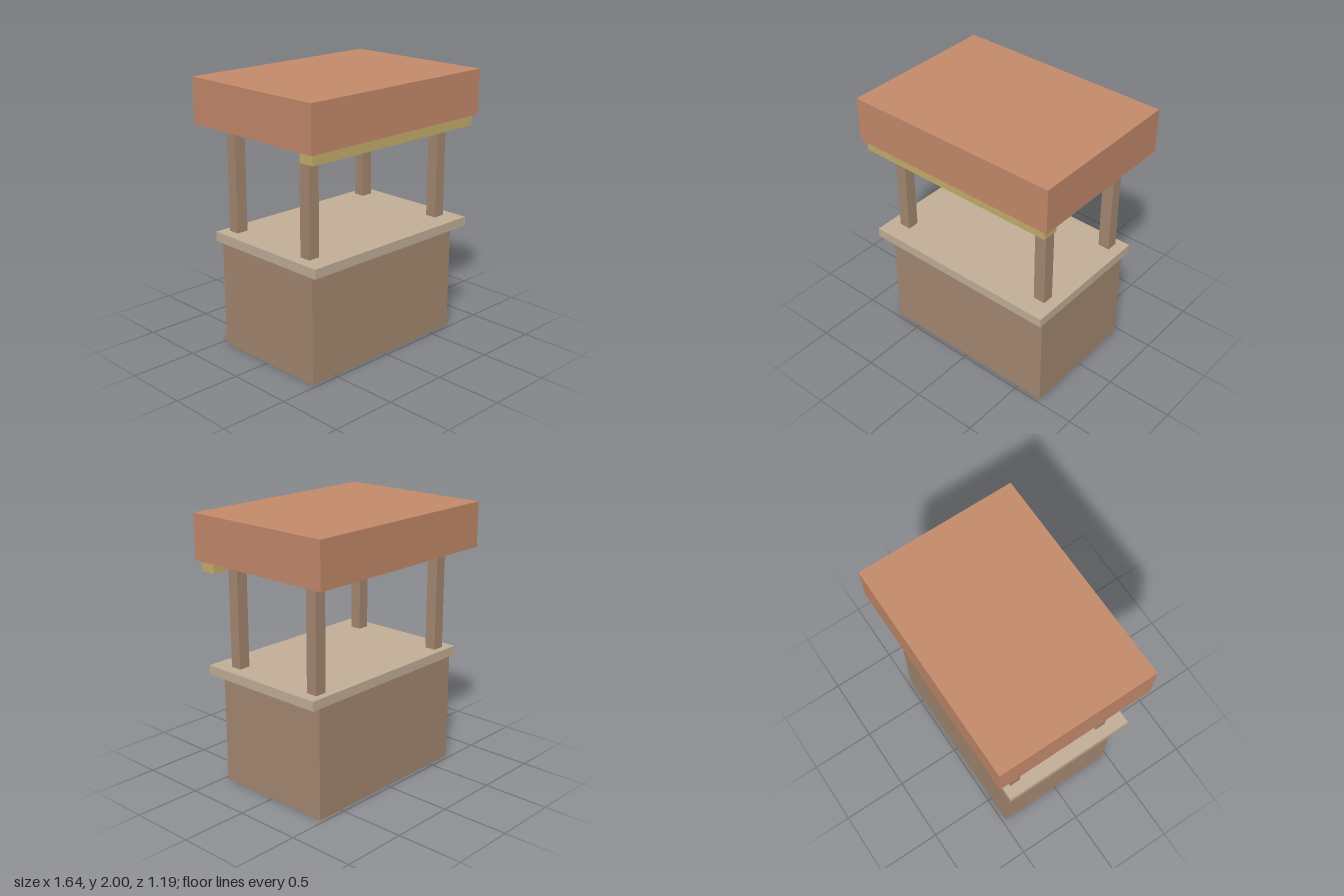
import * as THREE from 'three';

const material = (name, color) => {
  const m = new THREE.MeshStandardMaterial({ color });
  m.name = name;
  return m;
};

export function createModel() {
  const stall = new THREE.Group();
  stall.name = 'marketStall';

  const wood = material('brown wood', 0xa68a72);
  const paleWood = material('pale wood', 0xc4b09a);
  const terracotta = material('terracotta', 0xc68b6c);
  const ochre = material('ochre', 0xc8b06c);

  // Box given by its extents along each axis
  const addBox = (name, mat, [x0, x1], [y0, y1], [z0, z1]) => {
    const mesh = new THREE.Mesh(new THREE.BoxGeometry(x1 - x0, y1 - y0, z1 - z0), mat);
    mesh.name = name;
    mesh.position.set((x0 + x1) / 2, (y0 + y1) / 2, (z0 + z1) / 2);
    stall.add(mesh);
  };

  // Solid base and overhanging counter
  addBox('base', wood, [-0.707, 0.707], [0, 0.82], [-0.47, 0.47]);
  addBox('counter', paleWood, [-0.766, 0.766], [0.82, 0.89], [-0.47, 0.563]);

  // Four corner posts
  for (const [side, x] of [['left', 0.636], ['right', -0.636]]) {
    for (const [end, z] of [['Front', 0.374], ['Back', -0.374]]) {
      addBox(`${side}${end}Post`, wood, [x - 0.045, x + 0.045], [0.89, 1.667], [z - 0.043, z + 0.043]);
    }
  }

  // Roof and the sign board hanging under its front edge
  addBox('roof', terracotta, [-0.822, 0.822], [1.667, 2], [-0.597, 0.597]);
  addBox('signBoard', ochre, [-0.786, 0.786], [1.588, 1.667], [0.449, 0.571]);

  return stall;
}
